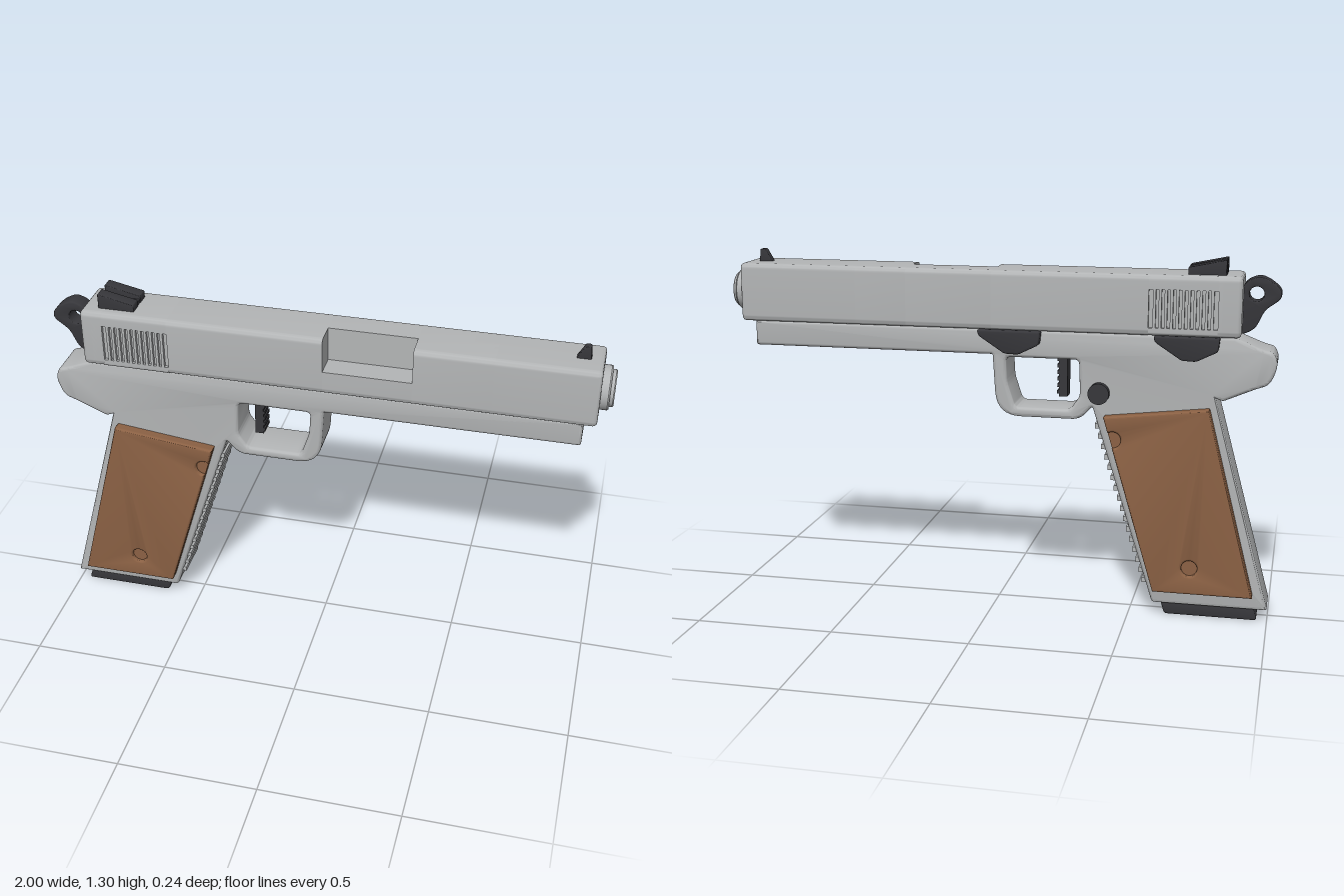
import * as THREE from 'three';
import { toCreasedNormals } from 'three/addons/utils/BufferGeometryUtils.js';

const mat = (name, color) => {
  const m = new THREE.MeshStandardMaterial({ color });
  m.name = name;
  return m;
};

// Closed outline with rounded corners; a point may carry its own radius as third value
function outline(pts, r = 0, Kind = THREE.Shape) {
  const s = new Kind();
  const v = pts.map((p) => new THREE.Vector2(p[0], p[1]));
  v.forEach((p, i) => {
    const a = v[(i + v.length - 1) % v.length], b = v[(i + 1) % v.length];
    const rad = pts[i][2] ?? r;
    const cut = (q) => p.clone().lerp(q, Math.min(0.48, rad / p.distanceTo(q)));
    const p0 = cut(a), p1 = cut(b);
    if (i) s.lineTo(p0.x, p0.y); else s.moveTo(p0.x, p0.y);
    if (rad > 0) s.quadraticCurveTo(p.x, p.y, p1.x, p1.y);
  });
  s.closePath();
  return s;
}

// Extrusion from a to b that keeps its outline size, with optional rounded edges
function extrude(shape, a, b, bevel = 0) {
  const g = new THREE.ExtrudeGeometry(shape, {
    depth: b - a - 2 * bevel, curveSegments: 8, bevelEnabled: bevel > 0,
    bevelThickness: bevel, bevelSize: bevel, bevelOffset: -bevel, bevelSegments: 3,
  });
  g.translate(0, 0, a + bevel);
  return toCreasedNormals(g, 0.6);
}

export function createModel() {
  const model = new THREE.Group();
  const steel = mat('brushed steel', 0xb3b5b6);
  const dark = mat('dark steel', 0x37373b);
  const wood = mat('brown wood', 0x8b6144);

  const add = (name, geo, material, parent = model) => {
    const m = new THREE.Mesh(geo, material);
    m.name = name;
    parent.add(m);
    return m;
  };
  const box = (name, x0, x1, y0, y1, z0, z1, material, parent) => {
    const m = add(name, new THREE.BoxGeometry(x1 - x0, y1 - y0, z1 - z0), material, parent);
    m.position.set((x0 + x1) / 2, (y0 + y1) / 2, (z0 + z1) / 2);
    return m;
  };

  // Slide: cross-sections (-z, y) run along x
  const slide = new THREE.Group();
  slide.name = 'slide';
  model.add(slide);
  const B = 1.032, T = 1.245, W = 0.1;
  const full = outline([[-W, B], [W, B], [W, T], [-W, T]], 0.022);
  const portCut = outline([[-W, B, 0.022], [W, B, 0.022], [W, T, 0.022], [-0.01, T], [-0.01, 1.12], [-W, 1.12]]);
  const G = 0.088, g0 = 1.06, g1 = 1.195;
  const grooved = outline([[-W, B, 0.022], [W, B, 0.022], [W, g0], [G, g0], [G, g1], [W, g1],
    [W, T, 0.022], [-W, T, 0.022], [-W, g1], [-G, g1], [-G, g0], [-W, g0]]);
  const segment = (name, shape, x0, x1, bevel) =>
    add(name, extrude(shape, x0, x1, bevel).rotateY(Math.PI / 2), steel, slide);
  segment('slideRearEnd', full, -0.87, -0.79, 0.014);
  segment('slideRearJoin', full, -0.83, -0.79);
  segment('slideGrooveCore', grooved, -0.79, -0.55);
  segment('slideMiddle', full, -0.55, 0.01);
  segment('slidePort', portCut, 0.01, 0.325);
  segment('slideFront', full, 0.325, 0.6);
  segment('slideFrontEnd', full, 0.5, 0.955, 0.014);
  for (let i = 0; i < 11; i++) {
    const x = -0.77 + i * 0.02;
    box('slideRib', x - 0.005, x + 0.005, g0, g1, -W, W, steel, slide);
  }

  // Muzzle with stepped rim and open bore
  const muzzle = [[0, 0.956], [0.05, 0.956], [0.05, 0.996], [0.053, 1.0], [0.06, 1.0], [0.064, 0.996],
    [0.064, 0.985], [0.073, 0.985], [0.077, 0.98], [0.077, 0.94]].map(([r, x]) => new THREE.Vector2(r, x));
  const bore = new THREE.LatheGeometry(muzzle.reverse(), 40);
  bore.rotateZ(-Math.PI / 2);
  add('muzzle', toCreasedNormals(bore, 0.6), steel).position.y = 1.138;

  // Frame with trigger guard, grip core and rear tang
  const frame = outline([
    [0.91, 1.032, 0.005], [-0.85, 1.032], [-0.95, 0.992, 0.03], [-0.985, 0.985, 0.03], [-1.0, 0.94, 0.03],
    [-0.975, 0.87, 0.04], [-0.93, 0.855, 0.03], [-0.815, 0.805, 0.01], [-0.79, 0.815], [-1.0, 0.045, 0.008],
    [-0.585, 0.045, 0.012], [-0.355, 0.765, 0.01], [-0.31, 0.715, 0.03], [-0.005, 0.715, 0.09], [0.01, 0.94, 0.004],
    [0.91, 0.94, 0.008],
  ]);
  frame.holes.push(outline([[-0.305, 0.932], [-0.31, 0.8], [-0.275, 0.75], [-0.075, 0.75], [-0.045, 0.84], [-0.04, 0.932]],
    0.018, THREE.Path));
  add('frame', extrude(frame, -0.08, 0.08, 0.012), steel);

  // Ridges down the front of the grip
  for (let i = 0; i < 16; i++) {
    const y = 0.128 + i * 0.0378;
    const x = -0.585 + (y - 0.045) * 0.319;
    box('gripRidge', x - 0.03, x + 0.012, y - 0.009, y + 0.009, -0.074, 0.074, steel);
  }

  // Wooden grip panels with two screw recesses
  const base = [[-0.947, 0.1], [-0.59, 0.1], [-0.4, 0.737], [-0.772, 0.78]];
  const face = new THREE.Shape();
  face.moveTo(-0.947, 0.1);
  face.lineTo(-0.59, 0.1);
  face.absarc(-0.435, 0.655, 0.03, -1.511, 0.932, true);
  face.lineTo(-0.4, 0.737);
  face.lineTo(-0.772, 0.78);
  face.closePath();
  const recess = new THREE.Path();
  recess.absarc(-0.72, 0.197, 0.029, 0, Math.PI * 2, true);
  face.holes.push(recess);
  for (const side of [1, -1]) {
    const panel = new THREE.Group();
    panel.name = side > 0 ? 'frontGripPanel' : 'backGripPanel';
    model.add(panel);
    const layer = (name, shape, a, b, bevel) => {
      const geo = side > 0 ? extrude(shape, a, b, bevel) : extrude(shape, -b, -a, bevel);
      add(name, geo, wood, panel);
    };
    layer('panelBase', outline(base, 0.006), 0.07, 0.106);
    layer('panelFace', face, 0.09, 0.12, 0.008);
  }

  // Magazine base plate
  add('magazineBase', extrude(outline([[-0.965, 0], [-0.63, 0], [-0.615, 0.05], [-0.95, 0.05]], 0.012),
    -0.066, 0.066, 0.008), dark);

  // Ring hammer
  const hammer = outline([[-0.86, 1.04], [-0.86, 1.19], [-0.88, 1.225], [-0.925, 1.243], [-0.965, 1.225],
    [-1.0, 1.195], [-1.0, 1.165], [-0.945, 1.125], [-0.915, 1.06], [-0.88, 1.04]], 0.02);
  const eye = new THREE.Path();
  eye.absarc(-0.915, 1.18, 0.026, 0, Math.PI * 2, true);
  hammer.holes.push(eye);
  add('hammer', extrude(hammer, -0.032, 0.032, 0.005), dark);

  // Sights
  const sight = outline([[-0.812, 1.235], [-0.68, 1.235], [-0.68, 1.27], [-0.812, 1.298]], 0.004);
  add('rearSightLeft', extrude(sight, 0.013, 0.06, 0.003), dark);
  add('rearSightRight', extrude(sight, -0.06, -0.013, 0.003), dark);
  box('rearSightBase', -0.81, -0.682, 1.235, 1.258, -0.03, 0.03, dark);
  add('frontSight', extrude(outline([[0.858, 1.24], [0.91, 1.24], [0.906, 1.29], [0.886, 1.29]], 0.006),
    -0.014, 0.014, 0.003), dark);

  // Trigger with ribbed front
  box('trigger', -0.257, -0.226, 0.787, 0.94, -0.03, 0.03, dark);
  for (let i = 0; i < 6; i++) {
    const y = 0.797 + i * 0.024;
    box('triggerRib', -0.228, -0.22, y, y + 0.013, -0.03, 0.03, dark);
  }

  // Levers and release button on the -z side
  const lever = (name, x) => add(name, extrude(outline([[x, 1.034], [x - 0.23, 1.034], [x - 0.225, 0.985],
    [x - 0.15, 0.948], [x - 0.1, 0.95], [x - 0.005, 1.012]], 0.01), -0.112, -0.07, 0.007), dark);
  lever('slideStopLever', 0.06);
  lever('safetyLever', -0.57);
  const button = new THREE.CylinderGeometry(0.038, 0.038, 0.04, 28).rotateX(Math.PI / 2);
  add('releaseButton', button, dark).position.set(-0.38, 0.817, -0.085);

  return model;
}
